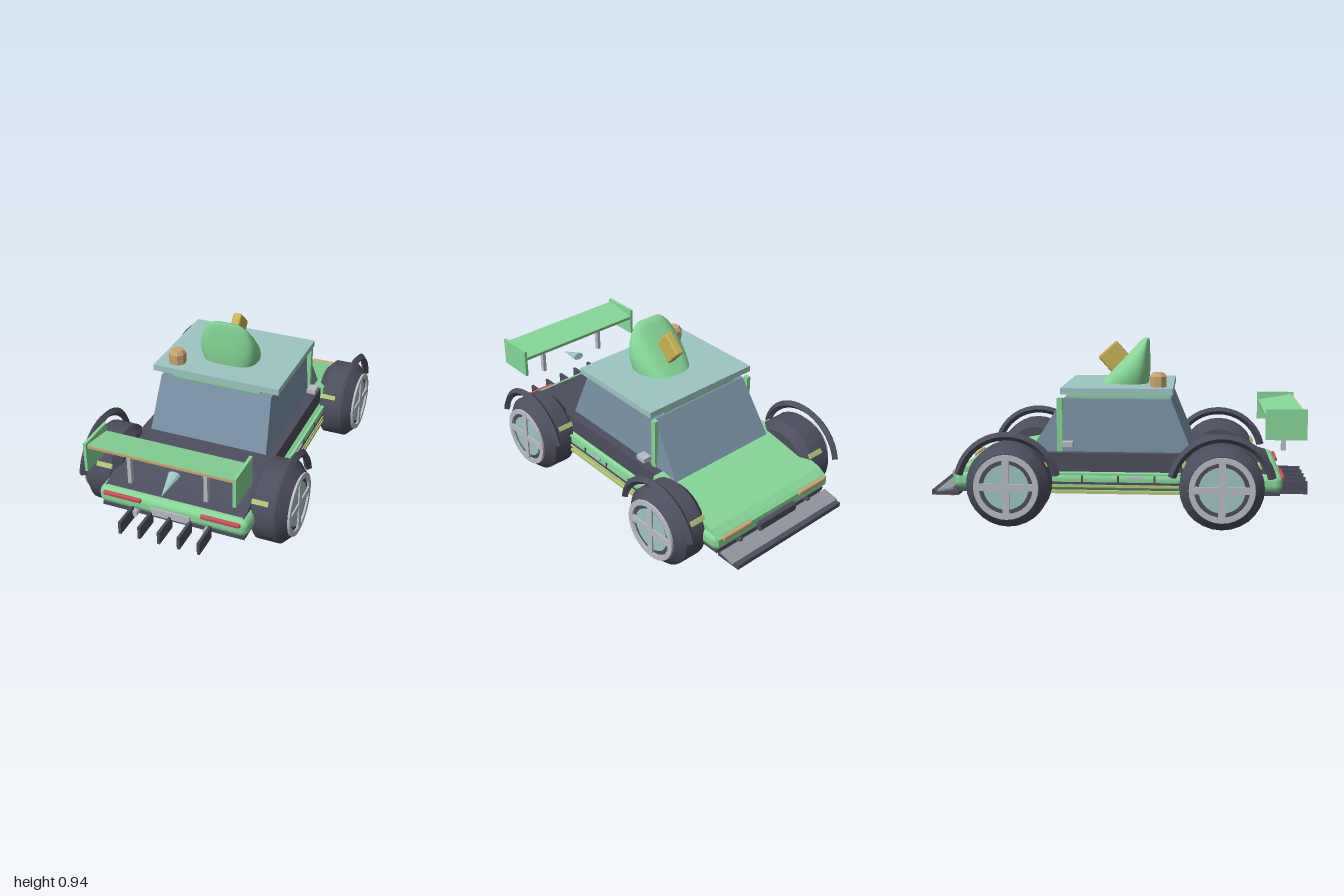
import * as THREE from 'three';
import { toCreasedNormals } from 'three/addons/utils/BufferGeometryUtils.js';
import { RoundedBoxGeometry } from 'three/addons/geometries/RoundedBoxGeometry.js';

const mat = (name, color) => {
  const m = new THREE.MeshStandardMaterial({ color });
  m.name = name;
  return m;
};

export function createModel() {
  const green = mat('leaf green', 0x86d797), dark = mat('charcoal', 0x4d4e5e);
  const teal = mat('pale teal', 0x9cc6c3), glass = mat('slate glass', 0x7891a5);
  const grey = mat('light grey', 0xb9bcc6), steel = mat('mid grey', 0x92959e);
  const tan = mat('tan', 0xc9a570), gold = mat('gold', 0xc9b254);
  const red = mat('red', 0xd04c5c), lime = mat('lime', 0xb3c878);

  const car = new THREE.Group();
  car.name = 'car';
  const add = (name, geo, material, x = 0, y = 0, z = 0, parent = car) => {
    const mesh = new THREE.Mesh(geo, material);
    mesh.name = name;
    mesh.position.set(x, y, z);
    parent.add(mesh);
    return mesh;
  };
  const box = (name, m, w, h, d, x, y, z, parent) =>
    add(name, new THREE.BoxGeometry(w, h, d), m, x, y, z, parent);
  const round = (name, m, w, h, d, r, x, y, z) =>
    add(name, new RoundedBoxGeometry(w, h, d, 2, r), m, x, y, z);
  // side profile of [z, y] points, extruded across the car
  const slab = (name, m, pts, width) => {
    const shape = new THREE.Shape(pts.map(p => new THREE.Vector2(p[0], p[1])));
    const geo = new THREE.ExtrudeGeometry(shape, { depth: width, bevelEnabled: false });
    geo.translate(0, 0, -width / 2).rotateY(-Math.PI / 2);
    return add(name, geo, m);
  };

  // lower body
  round('lowerBody', green, 0.83, 0.1, 1.73, 0.04, 0, 0.22, -0.01);
  box('undertray', dark, 0.79, 0.02, 1.7, 0, 0.165, -0.01);
  slab('tub', dark, [[-0.38, 0.2], [0.82, 0.2], [0.82, 0.268], [0.76, 0.285], [0.54, 0.355], [0.36, 0.365], [-0.38, 0.365]], 0.77);
  slab('hood', green, [[-0.875, 0.2], [-0.38, 0.2], [-0.38, 0.367], [-0.5, 0.35], [-0.82, 0.285], [-0.875, 0.25]], 0.8);

  // side sills
  for (const s of [-1, 1]) {
    box('sillTrim', lime, 0.03, 0.016, 0.72, s * 0.405, 0.165, -0.01);
    box('sillLine', lime, 0.012, 0.012, 0.7, s * 0.416, 0.198, -0.01);
    box('sillGroove', dark, 0.008, 0.012, 0.7, s * 0.413, 0.212, -0.01);
    box('sillPanelTop', green, 0.016, 0.012, 0.7, s * 0.412, 0.26, -0.01);
    for (const z of [-0.19, 0.0, 0.19]) box('sillRib', dark, 0.008, 0.045, 0.01, s * 0.414, 0.237, z);
    box('doorHandle', grey, 0.012, 0.012, 0.08, s * 0.418, 0.243, 0.09);
    box('mirror', grey, 0.05, 0.026, 0.06, s * 0.37, 0.412, -0.27);
    box('pillar', green, 0.024, 0.285, 0.03, s * 0.332, 0.508, -0.315);
  }

  // cabin glass, tapering towards the roof
  const cabin = new THREE.BoxGeometry(1, 1, 1);
  const cp = cabin.attributes.position;
  for (let i = 0; i < cp.count; i++) {
    const top = cp.getY(i) > 0, back = cp.getZ(i) > 0;
    cp.setXYZ(i, Math.sign(cp.getX(i)) * (top ? 0.315 : 0.335), top ? 0.645 : 0.35,
      top ? (back ? 0.27 : -0.3) : (back ? 0.39 : -0.485));
  }
  cabin.computeVertexNormals();
  add('cabinGlass', cabin, glass);
  box('roofSeal', green, 0.5, 0.028, 0.55, 0, 0.657, -0.015);
  box('roof', teal, 0.715, 0.034, 0.59, 0, 0.688, -0.015);

  // roof scoop, lofted from rounded rings: y, half width, z at back, z at front
  const rings = [[0.7, 0.152, -0.125, 0.138], [0.75, 0.161, -0.08, 0.144], [0.8, 0.159, -0.032, 0.145],
    [0.85, 0.148, 0.015, 0.144], [0.9, 0.125, 0.062, 0.142], [0.93, 0.1, 0.09, 0.141], [0.945, 0.078, 0.108, 0.138]];
  const N = 32, pos = [], idx = [];
  const soft = v => Math.sign(v) * Math.abs(v) ** 0.6;
  for (const [y, w, z0, z1] of rings) {
    for (let i = 0; i < N; i++) {
      const a = (i / N) * Math.PI * 2, sz = soft(Math.sin(a));
      pos.push(soft(Math.cos(a)) * w * (sz < 0 ? 1 + 0.22 * sz : 1), y, (z0 + z1) / 2 + sz * (z1 - z0) / 2);
    }
  }
  for (let r = 0; r < rings.length - 1; r++) {
    for (let i = 0; i < N; i++) {
      const a = r * N + i, b = r * N + (i + 1) % N;
      idx.push(a, a + N, b, b, a + N, b + N);
    }
  }
  const last = (rings.length - 1) * N;
  pos.push(0, 0.945, 0.123);
  for (let i = 0; i < N; i++) idx.push(last + N, last + (i + 1) % N, last + i);
  const scoop = new THREE.BufferGeometry();
  scoop.setAttribute('position', new THREE.Float32BufferAttribute(pos, 3));
  scoop.setIndex(idx);
  add('roofScoop', toCreasedNormals(scoop, 0.7), green);
  round('scoopFin', gold, 0.05, 0.135, 0.13, 0.012, 0, 0.84, -0.05).rotation.x = 0.84;

  // roof beacon
  const beacon = new THREE.LatheGeometry([[0, 0], [0.047, 0], [0.047, 0.055], [0.032, 0.075], [0, 0.075]]
    .map(p => new THREE.Vector2(...p)), 8, Math.PI / 8);
  add('beacon', toCreasedNormals(beacon, 0.3), tan, -0.25, 0.705, 0.2);

  // rear wing
  const wing = box('wingBlade', green, 0.78, 0.02, 0.195, 0, 0.572, 0.862);
  wing.rotation.x = -0.17;
  box('wingTrim', tan, 0.77, 0.012, 0.006, 0, 0.588, 0.96);
  for (const s of [-1, 1]) {
    box('wingEndPlate', green, 0.016, 0.16, 0.213, s * 0.396, 0.53, 0.866);
    box('wingPost', grey, 0.02, 0.2, 0.026, s * 0.207, 0.465, 0.868);
  }
  const pod = new THREE.ConeGeometry(0.034, 0.16, 8);
  pod.scale(1, 1, 0.6).rotateX(Math.PI / 2);
  add('deckPod', toCreasedNormals(pod, 0.3), teal, 0, 0.4, 0.87).rotation.x = 0.2;

  // rear end
  box('rearPlate', grey, 0.215, 0.042, 0.012, 0, 0.205, 0.858);
  for (const s of [-1, 1]) {
    round('tailLight', red, 0.215, 0.024, 0.02, 0.008, s * 0.272, 0.247, 0.855);
    const pipe = new THREE.CylinderGeometry(0.018, 0.018, 0.05, 14).rotateX(Math.PI / 2);
    add('exhaustPipe', pipe, grey, s * 0.2, 0.168, 0.845);
  }
  for (let i = -2; i <= 2; i++) box('diffuserFin', dark, 0.015, 0.07, 0.148, i * 0.108, 0.165, 0.926);

  // nose
  for (const s of [-1, 1]) round('headLight', tan, 0.2, 0.026, 0.024, 0.008, s * 0.275, 0.25, -0.878);
  round('grille', dark, 0.27, 0.05, 0.03, 0.008, 0, 0.205, -0.892);
  box('splitter', dark, 0.76, 0.018, 0.145, 0, 0.14, -0.926);
  box('splitterLip', dark, 0.76, 0.012, 0.03, 0, 0.151, -0.985);
  box('splitterTrim', tan, 0.74, 0.006, 0.1, 0, 0.129, -0.93);
  box('splitterPlate', steel, 0.78, 0.01, 0.09, 0, 0.162, -0.925).rotation.x = -0.2;
  for (const s of [-1, 1]) box('splitterStay', dark, 0.02, 0.04, 0.05, s * 0.25, 0.165, -0.865);

  // wheels with hubs and arched guards
  const tyreGeo = toCreasedNormals(new THREE.LatheGeometry(
    [[0, -0.105], [0.172, -0.105], [0.217, -0.063], [0.217, 0.06], [0.172, 0.105], [0, 0.105]]
      .map(p => new THREE.Vector2(...p)), 28).rotateZ(-Math.PI / 2), 0.6);
  const rimShape = new THREE.Shape().absarc(0, 0, 0.168, 0, Math.PI * 2);
  rimShape.holes.push(new THREE.Path().absarc(0, 0, 0.14, 0, Math.PI * 2, true));
  const rimGeo = toCreasedNormals(new THREE.ExtrudeGeometry(rimShape,
    { depth: 0.014, bevelEnabled: false, curveSegments: 16 }).rotateY(Math.PI / 2), 0.6);
  const discGeo = new THREE.CylinderGeometry(0.118, 0.118, 0.008, 28).rotateZ(-Math.PI / 2);
  const arc = Math.PI * 0.86;
  const guardGeo = toCreasedNormals(new THREE.TorusGeometry(0.259, 0.022, 4, 20, arc)
    .rotateZ((Math.PI - arc) / 2).rotateY(Math.PI / 2), 0.5);

  const wheel = (side, z) => {
    const g = new THREE.Group();
    g.name = 'wheel';
    g.position.set(side * 0.465, 0.217, z);
    if (side < 0) g.rotation.y = Math.PI;
    car.add(g);
    add('tyre', tyreGeo, dark, 0, 0, 0, g);
    add('rim', rimGeo, grey, 0.103, 0, 0, g);
    add('hubDisc', discGeo, teal, 0.105, 0, 0, g);
    box('spoke', grey, 0.014, 0.3, 0.036, 0.111, 0, 0, g);
    box('spoke', grey, 0.013, 0.036, 0.3, 0.111, 0, 0, g);
    add('wheelGuard', guardGeo, dark, 0.07, 0, 0, g);
    for (const s of [-1, 1]) {
      const clip = box('guardClip', lime, 0.088, 0.025, 0.016, -0.03, 0.103, s * 0.192, g);
      clip.rotation.x = -s * 0.49;
    }
  };
  for (const side of [-1, 1]) for (const z of [0.537, -0.563]) wheel(side, z);

  return car;
}
